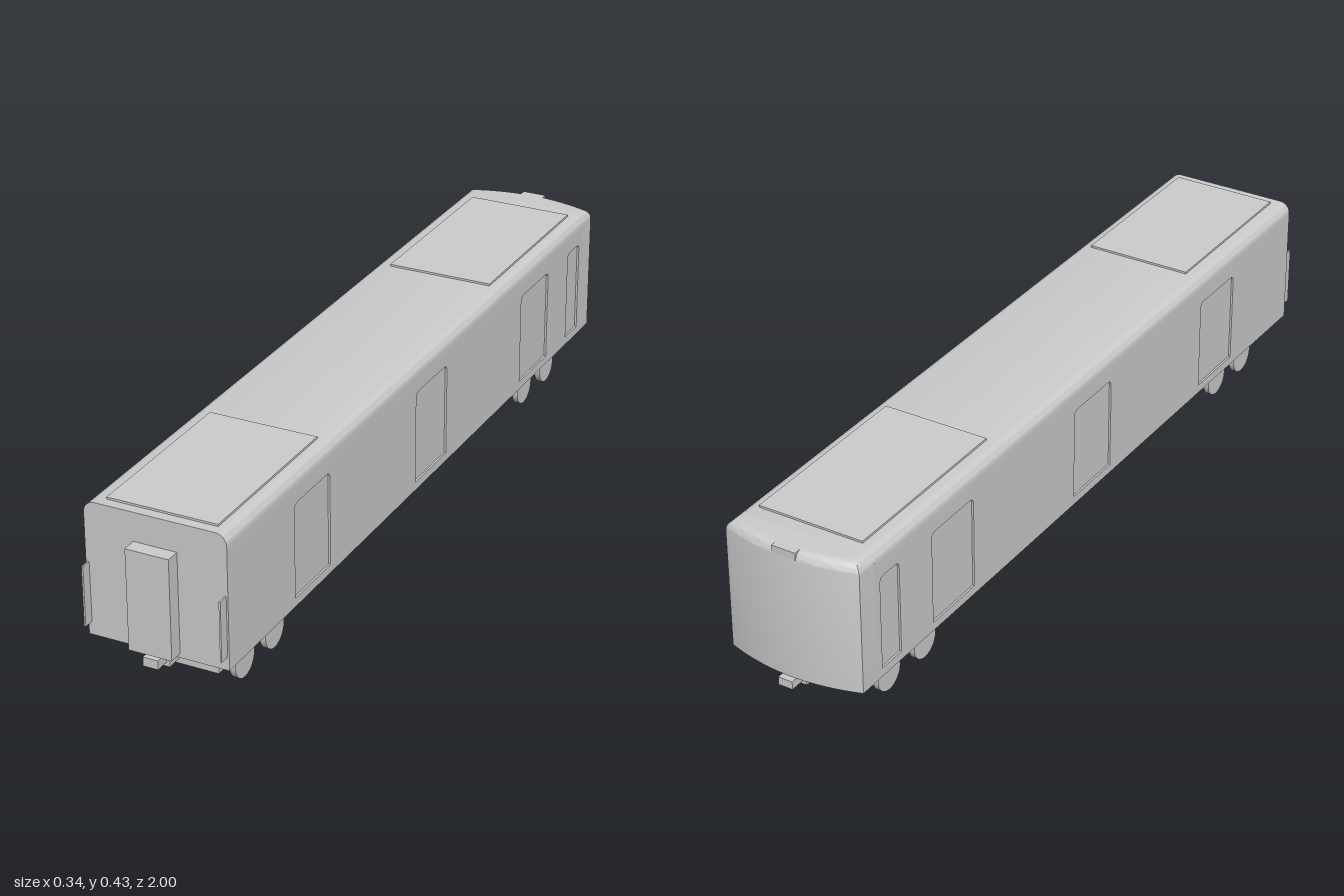
import * as THREE from 'three';
import { toCreasedNormals } from 'three/addons/utils/BufferGeometryUtils.js';

const W = 0.17, FLOOR = 0.105, TOP = 0.427, R = 0.027;
const FRONT = 0.965, CAB = -0.9, REAR = -0.955, BULGE = 0.03;
const SKIN = 0.005, SKIN_TOP = 0.38;

export function createModel() {
  const group = new THREE.Group();
  const mat = new THREE.MeshStandardMaterial({ color: 0xcccccc });

  const add = (name, geometry) => {
    const mesh = new THREE.Mesh(geometry, mat);
    mesh.name = name;
    group.add(mesh);
    return mesh;
  };
  // Box given by its limits on each axis
  const box = (name, x0, x1, y0, y1, z0, z1) => {
    const g = new THREE.BoxGeometry(x1 - x0, y1 - y0, z1 - z0);
    g.translate((x0 + x1) / 2, (y0 + y1) / 2, (z0 + z1) / 2);
    return add(name, g);
  };

  // Inner body, whose sides show as the recessed doors
  box('bodyCore', -W + SKIN, W - SKIN, FLOOR, SKIN_TOP, CAB, FRONT);

  // Roof with rounded shoulders
  const roof = new THREE.Shape();
  roof.moveTo(-W, SKIN_TOP);
  roof.lineTo(W, SKIN_TOP);
  roof.lineTo(W, TOP - R);
  roof.absarc(W - R, TOP - R, R, 0, Math.PI / 2, false);
  roof.absarc(-W + R, TOP - R, R, Math.PI / 2, Math.PI, false);
  roof.closePath();
  const roofGeo = new THREE.ExtrudeGeometry(roof, { depth: FRONT - CAB, bevelEnabled: false, curveSegments: 8 });
  roofGeo.translate(0, 0, CAB);
  add('roof', toCreasedNormals(roofGeo, 0.6));

  // Side walls with door openings, drawn with shape x along -z
  const doors = [[0.505, 0.67], [-0.092, 0.073], [-0.685, -0.52], [-0.882, -0.81]];
  const wall = new THREE.Shape();
  wall.moveTo(-FRONT, FLOOR);
  wall.lineTo(-CAB, FLOOR);
  wall.lineTo(-CAB, SKIN_TOP);
  wall.lineTo(-FRONT, SKIN_TOP);
  wall.closePath();
  for (const [z0, z1] of doors) {
    const a = -z1, b = -z0, y0 = 0.126, y1 = 0.356, r = 0.015;
    const hole = new THREE.Path();
    hole.moveTo(a, y0);
    hole.lineTo(a, y1 - r);
    hole.quadraticCurveTo(a, y1, a + r, y1);
    hole.lineTo(b - r, y1);
    hole.quadraticCurveTo(b, y1, b, y1 - r);
    hole.lineTo(b, y0);
    hole.closePath();
    wall.holes.push(hole);
  }
  const wallGeo = new THREE.ExtrudeGeometry(wall, { depth: SKIN, bevelEnabled: false, curveSegments: 5 });
  wallGeo.rotateY(Math.PI / 2);
  for (const [name, x] of [['leftWall', W - SKIN], ['rightWall', -W]]) {
    add(name, wallGeo).position.x = x;
  }

  // Cab: curved plan raised to the roof, with its upper edges rounded in
  const plan = new THREE.Shape();
  plan.moveTo(-W, -CAB);
  plan.lineTo(W, -CAB);
  for (let i = 0; i <= 24; i++) {
    const t = 1 - i / 12;
    plan.lineTo(W * t, -REAR + BULGE * (1 - t * t));
  }
  plan.closePath();
  const steps = 9;
  const cabGeo = new THREE.ExtrudeGeometry(plan, { depth: 1, steps, bevelEnabled: false });
  cabGeo.rotateX(-Math.PI / 2);
  const p = cabGeo.attributes.position;
  for (let i = 0; i < p.count; i++) {
    const level = Math.round(p.getY(i) * steps);
    const a = Math.max(0, (level - 1) / (steps - 1)) * Math.PI / 2;
    const inset = 1 - Math.cos(a);
    const z = p.getZ(i);
    p.setX(i, p.getX(i) * (1 - inset * R / W));
    p.setY(i, level === 0 ? FLOOR : TOP - R + R * Math.sin(a));
    if (z < CAB - 0.01) p.setZ(i, z + 0.02 * inset);
  }
  add('cab', toCreasedNormals(cabGeo, 0.6));
  box('headlight', -0.03, 0.03, 0.408, TOP, -0.984, -0.95);

  // Roof panels
  box('frontRoofPanel', -0.128, 0.137, TOP - 0.002, 0.432, 0.5, 0.94);
  box('rearRoofPanel', -0.128, 0.137, TOP - 0.002, 0.432, -0.88, -0.4);

  // End gangway and the thin plates beside it
  box('gangway', -0.052, 0.052, 0.115, 0.358, FRONT, 1);
  for (const s of [-1, 1]) {
    box('endPlate', s * 0.164 - 0.002, s * 0.164 + 0.002, 0.137, 0.282, FRONT - 0.005, 0.99);
  }

  // Couplers and their beams
  box('frontCouplerBeam', -0.026, 0.026, 0.075, FLOOR, 0.89, FRONT);
  box('frontCoupler', -0.018, 0.018, 0.085, 0.107, 0.94, 1);
  box('rearCouplerBeam', -0.026, 0.026, 0.075, FLOOR, -0.96, -0.84);
  box('rearCoupler', -0.018, 0.018, 0.085, 0.105, -1, -0.94);

  // Equipment box under the floor
  box('underfloorBox', -0.12, 0.117, 0.045, FLOOR, -0.525, 0.56);

  // Bogies with wheels and axles
  box('frontBogie', -0.107, 0.107, 0.045, FLOOR, 0.61, 0.9);
  box('rearBogie', -0.107, 0.107, 0.045, FLOOR, -0.85, -0.565);
  const wheelGeo = new THREE.CylinderGeometry(0.0425, 0.0425, 0.014, 32).rotateZ(Math.PI / 2);
  const axleGeo = new THREE.CylinderGeometry(0.01, 0.01, 0.23, 12).rotateZ(Math.PI / 2);
  for (const z of [0.82, 0.685, -0.655, -0.795]) {
    add('axle', axleGeo).position.set(0, 0.0425, z);
    for (const s of [-1, 1]) add('wheel', wheelGeo).position.set(s * 0.119, 0.0425, z);
  }
  return group;
}
